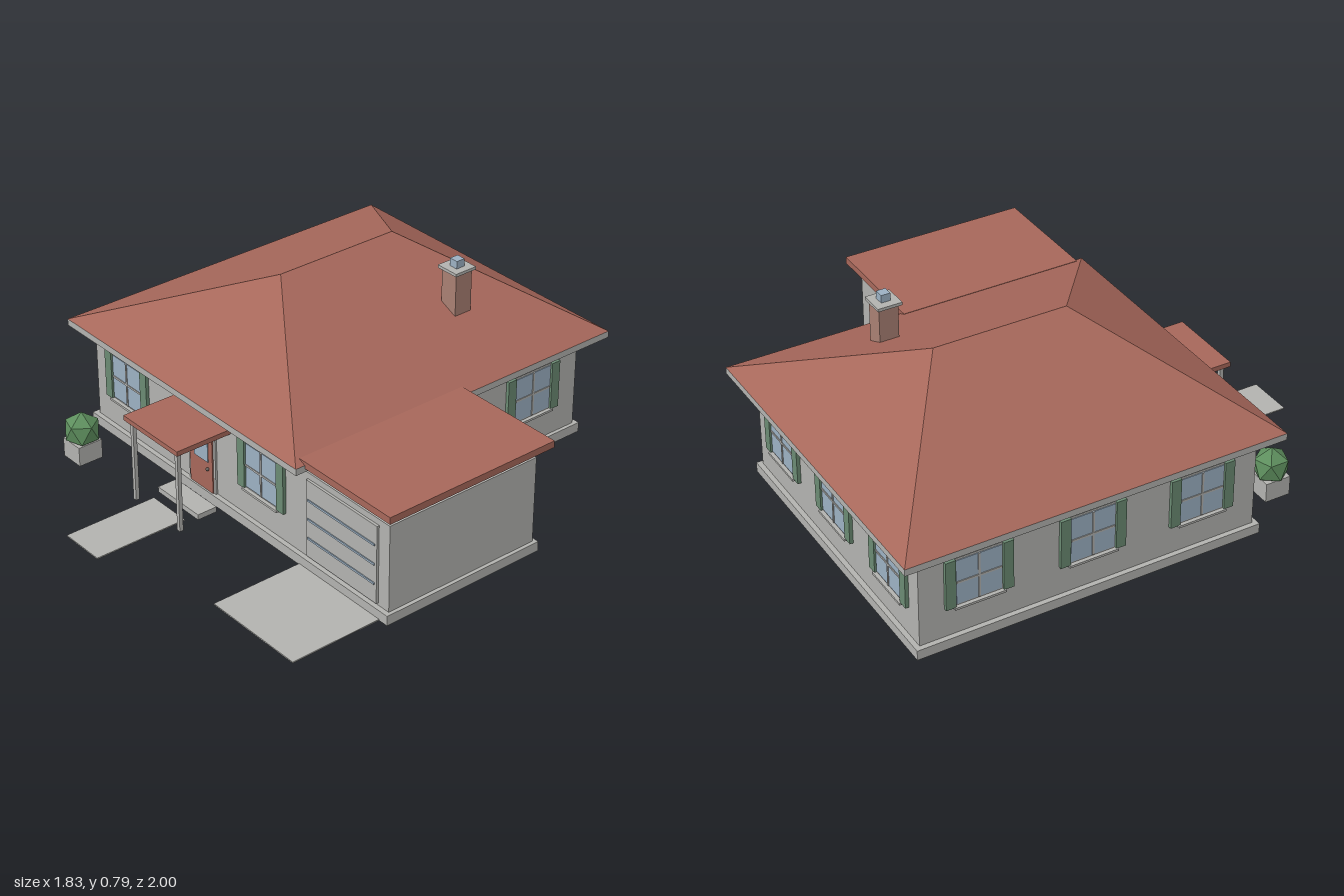
import * as THREE from 'three';

const mat = (name, color) => {
  const m = new THREE.MeshStandardMaterial({ color });
  m.name = name;
  return m;
};

export function createModel() {
  const wall = mat('pale grey', 0xb2b2af);
  const red = mat('roof red', 0xa6675a);
  const glass = mat('window blue', 0x9cb0c2);
  const green = mat('shutter green', 0x6a8a72);
  const leaf = mat('leaf green', 0x5e8f5e);
  const brick = mat('chimney brick', 0xa87f73);
  const metal = mat('dark metal', 0x6b6560);
  leaf.flatShading = true;

  const house = new THREE.Group();
  house.name = 'house';

  // Box given by its min and max on each axis
  const box = (name, m, x0, x1, y0, y1, z0, z1, parent = house) => {
    const mesh = new THREE.Mesh(new THREE.BoxGeometry(x1 - x0, y1 - y0, z1 - z0), m);
    mesh.position.set((x0 + x1) / 2, (y0 + y1) / 2, (z0 + z1) / 2);
    mesh.name = name;
    parent.add(mesh);
    return mesh;
  };

  // Plinths and walls
  box('mainPlinth', wall, -0.86, 0.4, 0, 0.04, -0.935, 0.465);
  box('garagePlinth', wall, 0.4, 0.89, 0, 0.04, -0.25, 0.465);
  box('mainWalls', wall, -0.84, 0.385, 0.04, 0.425, -0.915, 0.445);
  box('garageWalls', wall, 0.385, 0.875, 0.04, 0.395, -0.235, 0.445);

  // Hipped roof on a flat fascia slab
  box('fascia', wall, -0.915, 0.465, 0.423, 0.45, -1, 0.52);
  const A = [-0.915, 0.45, -1], B = [0.465, 0.45, -1], C = [0.465, 0.45, 0.52], D = [-0.915, 0.45, 0.52];
  const P = [-0.225, 0.76, -0.51], Q = [-0.225, 0.76, 0.03];
  const roofGeo = new THREE.BufferGeometry();
  roofGeo.setAttribute('position', new THREE.Float32BufferAttribute(
    [D, C, Q, C, B, P, C, P, Q, B, A, P, A, D, Q, A, Q, P].flat(), 3));
  roofGeo.computeVertexNormals();
  const roof = new THREE.Mesh(roofGeo, red);
  roof.name = 'hippedRoof';
  house.add(roof);
  box('garageRoof', red, 0.435, 0.915, 0.437, 0.465, -0.28, 0.48);

  // Chimney
  box('chimneyStack', brick, 0.103, 0.18, 0.57, 0.75, -0.55, -0.472);
  box('chimneyCap', wall, 0.09, 0.19, 0.75, 0.762, -0.56, -0.462);
  box('chimneyPot', glass, 0.122, 0.16, 0.762, 0.793, -0.53, -0.492);

  // Shuttered window, built facing +z around its own centre
  const addWindow = (x, z, turn) => {
    const w = new THREE.Group();
    w.name = 'window';
    box('windowFrame', wall, -0.095, 0.095, -0.1, 0.1, -0.01, 0.005, w);
    box('windowGlass', glass, -0.088, 0.088, -0.092, 0.092, 0.004, 0.008, w);
    box('verticalBar', wall, -0.004, 0.004, -0.092, 0.092, 0.006, 0.011, w);
    box('horizontalBar', wall, -0.088, 0.088, -0.004, 0.004, 0.006, 0.011, w);
    box('windowSill', wall, -0.1, 0.1, -0.107, -0.098, -0.005, 0.02, w);
    for (const s of [-1, 1]) {
      const c = s * 0.112;
      box('shutter', green, c - 0.02, c + 0.02, -0.1, 0.1, -0.005, 0.014, w);
    }
    w.position.set(x, 0.26, z);
    w.rotation.y = turn;
    house.add(w);
  };
  for (const x of [-0.635, 0.183]) addWindow(x, 0.445, 0);
  for (const x of [-0.64, -0.23, 0.18]) addWindow(x, -0.915, Math.PI);
  for (const z of [-0.685, -0.235, 0.215]) addWindow(-0.84, z, -Math.PI / 2);
  for (const z of [-0.685, -0.24]) addWindow(0.385, z, Math.PI / 2);

  // Front door
  box('doorFrame', wall, -0.248, -0.088, 0.04, 0.3, 0.44, 0.453);
  box('door', red, -0.236, -0.1, 0.04, 0.285, 0.445, 0.458);
  box('doorGlass', glass, -0.208, -0.124, 0.165, 0.25, 0.455, 0.461);
  const knob = new THREE.Mesh(new THREE.SphereGeometry(0.007, 10, 8), metal);
  knob.name = 'doorKnob';
  knob.position.set(-0.124, 0.137, 0.463);
  house.add(knob);

  // Porch canopy, posts, step and paving
  box('porchCanopy', red, -0.328, -0.003, 0.34, 0.36, 0.445, 0.685);
  for (const x of [-0.303, -0.033])
    box('porchPost', wall, x - 0.008, x + 0.008, 0, 0.34, 0.652, 0.668);
  box('doorStep', wall, -0.29, -0.045, 0, 0.022, 0.485, 0.57);
  box('gardenPath', wall, -0.263, -0.073, 0, 0.005, 0.61, 1);
  box('driveway', wall, 0.412, 0.848, 0, 0.005, 0.465, 0.847);

  // Garage door with panel lines
  box('garageDoor', wall, 0.44, 0.82, 0.05, 0.37, 0.44, 0.455);
  for (const y of [0.13, 0.21, 0.29])
    box('garageDoorLine', glass, 0.45, 0.81, y - 0.004, y + 0.004, 0.453, 0.459);

  // Planter with a faceted bush, one corner pointing up
  box('planter', wall, -0.723, -0.62, 0, 0.08, 0.59, 0.695);
  const bushGeo = new THREE.IcosahedronGeometry(0.073, 0);
  bushGeo.rotateZ(-Math.atan(2 / (1 + Math.sqrt(5))));
  bushGeo.scale(1, 1.05, 1);
  const bush = new THREE.Mesh(bushGeo, leaf);
  bush.name = 'bush';
  bush.position.set(-0.672, 0.12, 0.642);
  house.add(bush);

  return house;
}
